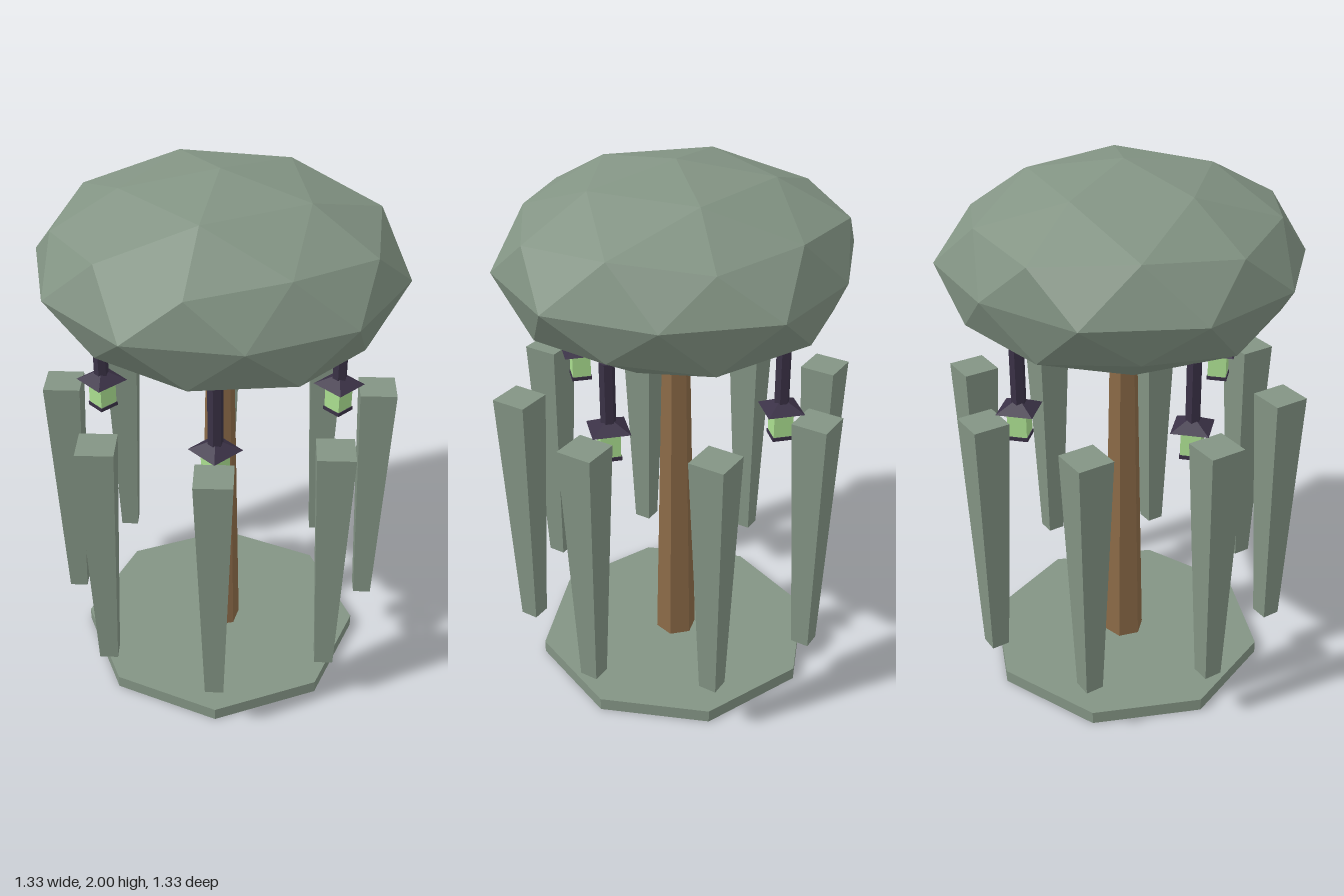
import * as THREE from 'three';

const paint = (color) => new THREE.MeshStandardMaterial({ color, flatShading: true });
const leafMat = paint(0x839484);
const barkMat = paint(0x8b6a47);
const ironMat = paint(0x3a3146);
const glowMat = paint(0xabdf90);

function add(parent, name, geometry, material, x, y, z) {
  const mesh = new THREE.Mesh(geometry, material);
  mesh.name = name;
  mesh.position.set(x, y, z);
  parent.add(mesh);
  return mesh;
}

// Prism or tapered prism standing between two heights
function column(parent, name, rTop, rBottom, y0, y1, sides, material, x = 0, z = 0) {
  const geometry = new THREE.CylinderGeometry(rTop, rBottom, y1 - y0, sides);
  return add(parent, name, geometry, material, x, (y0 + y1) / 2, z);
}

// Flattened faceted ball: a once-divided icosahedron standing on a vertex,
// made as two halves (the lower is the upper turned over) with uneven radii
function canopyGeometry(radius, halfHeight) {
  const equator = [1.006, 0.948, 1.003, 1.015, 0.985, 0.988, 0.962, 0.986, 1.005, 0.978];
  const shoulders = [
    [0.94, 0.965, 1.015, 1, 0.98, 0.977, 1, 0.95, 0.995, 1],
    [0.957, 1, 0.966, 1, 1, 1.015, 0.98, 1, 1.02, 0.98],
  ];
  const positions = [];
  for (let half = 0; half < 2; half++) {
    const s = half ? -1 : 1;
    const point = (r, y, degrees, k) => {
      const a = THREE.MathUtils.degToRad(degrees);
      return [s * r * k * radius * Math.cos(a), s * y * k * halfHeight, -r * k * radius * Math.sin(a)];
    };
    const wrap = (i) => (i + 10) % 10;
    const pole = point(0, 1, 0, 0.99);
    const cap = (k) => point(0.526, 0.851, 72 * k, 0.985);
    const shoulder = (j) => {
      const main = wrap(j) % 2 === 0;
      return point(main ? 0.894 : 0.851, main ? 0.447 : 0.526, 36 * j, shoulders[half][wrap(j)]);
    };
    const rim = (j) => point(1, 0, 18 + 36 * j, equator[half ? wrap(4 - wrap(j)) : wrap(j)]);
    const tri = (...corners) => corners.forEach((c) => positions.push(...c));

    for (let k = 0; k < 5; k++) {
      tri(pole, cap(k), cap(k + 1));
      tri(cap(k), shoulder(2 * k), shoulder(2 * k + 1));
      tri(cap(k), shoulder(2 * k - 1), shoulder(2 * k));
      tri(cap(k), shoulder(2 * k + 1), cap(k + 1));
    }
    for (let j = 0; j < 10; j++) {
      tri(shoulder(j), rim(j), shoulder(j + 1));
      tri(shoulder(j), rim(j - 1), rim(j));
    }
  }
  const geometry = new THREE.BufferGeometry();
  geometry.setAttribute('position', new THREE.Float32BufferAttribute(positions, 3));
  geometry.computeVertexNormals();
  return geometry;
}

function createLantern() {
  const lantern = new THREE.Group();
  lantern.name = 'lantern';
  column(lantern, 'lanternRod', 0.027, 0.027, 1.19, 1.43, 6, ironMat);
  const roof = add(lantern, 'lanternRoof', new THREE.ConeGeometry(0.093, 0.042, 4), ironMat, 0, 1.201, 0);
  roof.rotation.y = Math.PI / 4;
  add(lantern, 'lanternGlass', new THREE.BoxGeometry(0.07, 0.1, 0.07), glowMat, 0, 1.132, 0);
  add(lantern, 'lanternFloor', new THREE.BoxGeometry(0.076, 0.014, 0.076), ironMat, 0, 1.077, 0);
  return lantern;
}

export function createModel() {
  const model = new THREE.Group();
  model.name = 'lanternTree';

  // Ground slab, trunk and crown
  column(model, 'base', 0.54, 0.54, 0.001, 0.05, 8, leafMat);
  column(model, 'trunk', 0.05, 0.08, 0, 1.4, 6, barkMat);
  add(model, 'canopy', canopyGeometry(0.65, 0.35), leafMat, 0, 1.654, 0);

  // Ring of hanging fronds, narrowing downwards
  for (let i = 0; i < 8; i++) {
    const a = (i * Math.PI) / 4;
    column(model, 'hangingFrond', 0.094, 0.048, 0.215, 1.17, 4, leafMat, 0.573 * Math.sin(a), 0.573 * Math.cos(a));
  }

  // Four lanterns under the crown
  for (const x of [-1, 1]) {
    for (const z of [-1, 1]) {
      const lantern = createLantern();
      lantern.position.set(0.306 * x, 0, 0.306 * z);
      model.add(lantern);
    }
  }
  return model;
}
